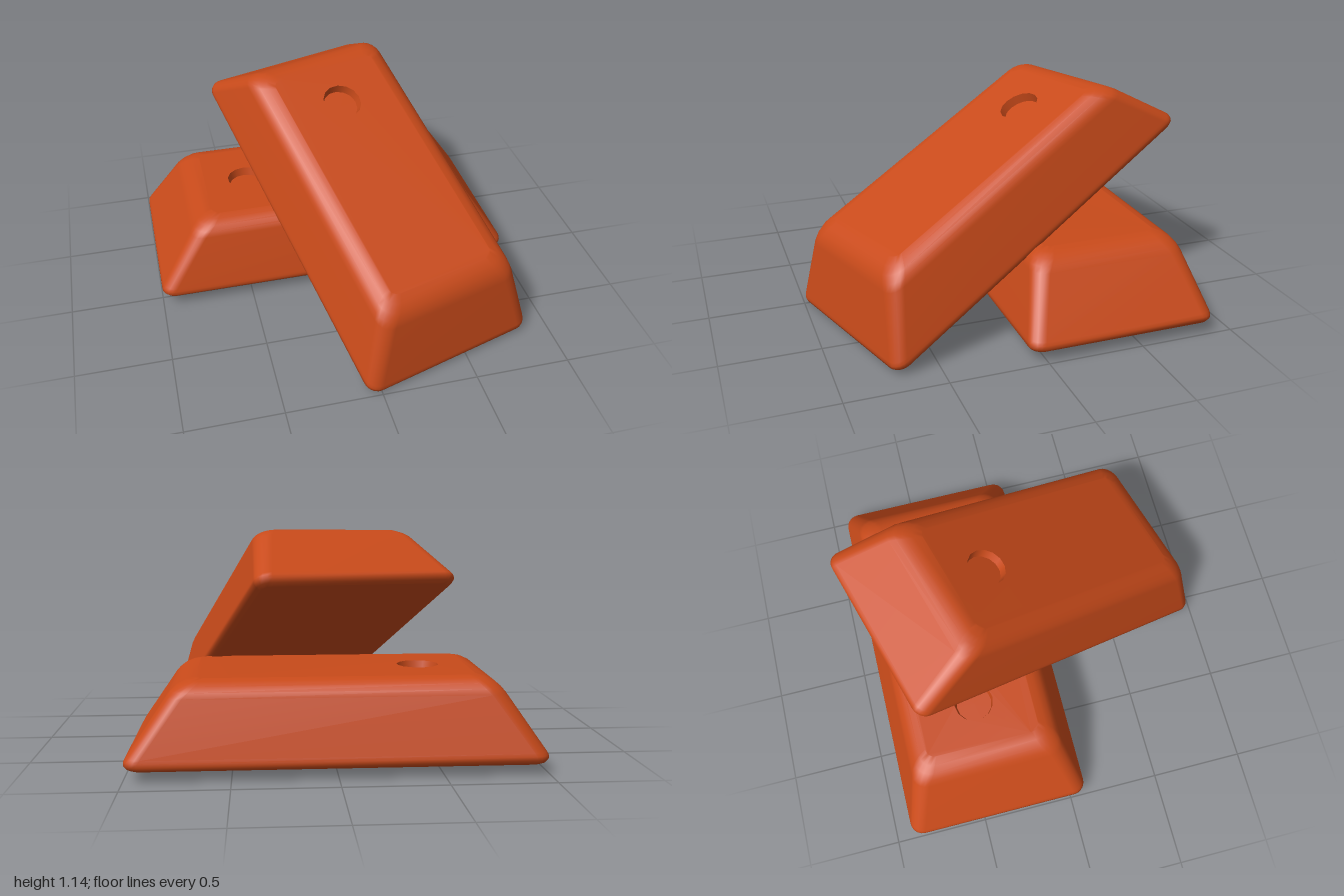
import * as THREE from 'three';
import { mergeGeometries, mergeVertices } from 'three/addons/utils/BufferGeometryUtils.js';

const HOLE_X = -0.435, HOLE_R = 0.105, HOLE_SIDES = 14, HEIGHT = 0.405;

// Bar cross-sections from bottom to top: [y, half length, half width, corner radius]
const SECTIONS = [
  [0, 0.965, 0.465, 0.05],
  [0.01, 0.985, 0.485, 0.06],
  [0.028, 0.998, 0.498, 0.07],
  [0.045, 0.996, 0.496, 0.07],
  [0.06, 0.987, 0.492, 0.07],
  [0.325, 0.808, 0.415, 0.08],
  [0.352, 0.786, 0.402, 0.085],
  [0.377, 0.757, 0.38, 0.085],
  [0.396, 0.718, 0.348, 0.07],
  [HEIGHT, 0.675, 0.31, 0.05],
];

// Counter-clockwise outline of a rounded rectangle
function roundedRect(hx, hz, r, steps = 5) {
  const pts = [];
  [[1, 1], [-1, 1], [-1, -1], [1, -1]].forEach(([sx, sy], corner) => {
    for (let i = 0; i <= steps; i++) {
      const a = (corner + i / steps) * Math.PI / 2;
      pts.push(new THREE.Vector2(sx * (hx - r) + r * Math.cos(a), sy * (hz - r) + r * Math.sin(a)));
    }
  });
  return pts;
}

function positionsOnly(geometry) {
  geometry.deleteAttribute('normal');
  geometry.deleteAttribute('uv');
  return geometry;
}

// Tapered bar with soft edges and a round opening in the top face
function barGeometry() {
  const rings = SECTIONS.map(([, hx, hz, r]) => roundedRect(hx, hz, r));
  const n = rings[0].length;
  const positions = [], index = [];
  rings.forEach((ring, i) => {
    ring.forEach((p) => positions.push(p.x, SECTIONS[i][0], -p.y));
    if (i === 0) return;
    for (let j = 0; j < n; j++) {
      const k = (j + 1) % n, lo = (i - 1) * n, hi = i * n;
      index.push(lo + j, lo + k, hi + k, lo + j, hi + k, hi + j);
    }
  });
  const sides = new THREE.BufferGeometry();
  sides.setAttribute('position', new THREE.Float32BufferAttribute(positions, 3));
  sides.setIndex(index);

  const topShape = new THREE.Shape(rings[rings.length - 1]);
  const hole = [];
  for (let i = 0; i < HOLE_SIDES; i++) {
    const a = -i / HOLE_SIDES * Math.PI * 2;
    hole.push(new THREE.Vector2(HOLE_X + HOLE_R * Math.sin(a), HOLE_R * Math.cos(a)));
  }
  topShape.holes.push(new THREE.Path(hole));
  const top = new THREE.ShapeGeometry(topShape).rotateX(-Math.PI / 2).translate(0, HEIGHT, 0);
  const bottom = new THREE.ShapeGeometry(new THREE.Shape(rings[0])).rotateX(Math.PI / 2);

  const merged = mergeVertices(mergeGeometries([sides, positionsOnly(top), positionsOnly(bottom)]), 1e-4);
  merged.computeVertexNormals();
  return merged;
}

export function createModel() {
  const model = new THREE.Group();
  model.name = 'stackedBars';
  const material = new THREE.MeshStandardMaterial({ color: 0xc84a1a });
  const inside = new THREE.MeshStandardMaterial({ color: 0xc84a1a, side: THREE.BackSide });

  const depth = 0.045, floorR = 0.095;
  const body = barGeometry();
  const wall = new THREE.CylinderGeometry(HOLE_R, floorR, depth, HOLE_SIDES, 1, true)
    .translate(HOLE_X, HEIGHT - depth / 2, 0);
  const floor = new THREE.CircleGeometry(floorR, HOLE_SIDES, Math.PI / 2)
    .rotateX(-Math.PI / 2).translate(HOLE_X, HEIGHT - depth, 0);

  const makeBar = (name) => {
    const bar = new THREE.Group();
    bar.name = name;
    [['barBody', body, material], ['holeWall', wall, inside], ['holeFloor', floor, material]]
      .forEach(([part, geometry, mat]) => {
        const mesh = new THREE.Mesh(geometry, mat);
        mesh.name = part;
        bar.add(mesh);
      });
    model.add(bar);
    return bar;
  };

  // Bar lying flat at the back
  makeBar('lyingBar').position.set(0, 0.07, -0.41);

  // Second bar leaning across it, its front end on the ground
  const leaning = makeBar('leaningBar');
  const tilt = THREE.MathUtils.degToRad(27.6), turn = THREE.MathUtils.degToRad(17);
  const along = new THREE.Vector3(
    Math.sin(turn) * Math.cos(tilt), -Math.sin(tilt), Math.cos(turn) * Math.cos(tilt));
  const across = new THREE.Vector3(-Math.cos(turn), -0.02, Math.sin(turn));
  across.addScaledVector(along, -across.dot(along)).normalize();
  const up = new THREE.Vector3().crossVectors(across, along);
  leaning.quaternion.setFromRotationMatrix(new THREE.Matrix4().makeBasis(along, up, across));
  leaning.position.set(0.15, 0.473, 0);

  return model;
}
